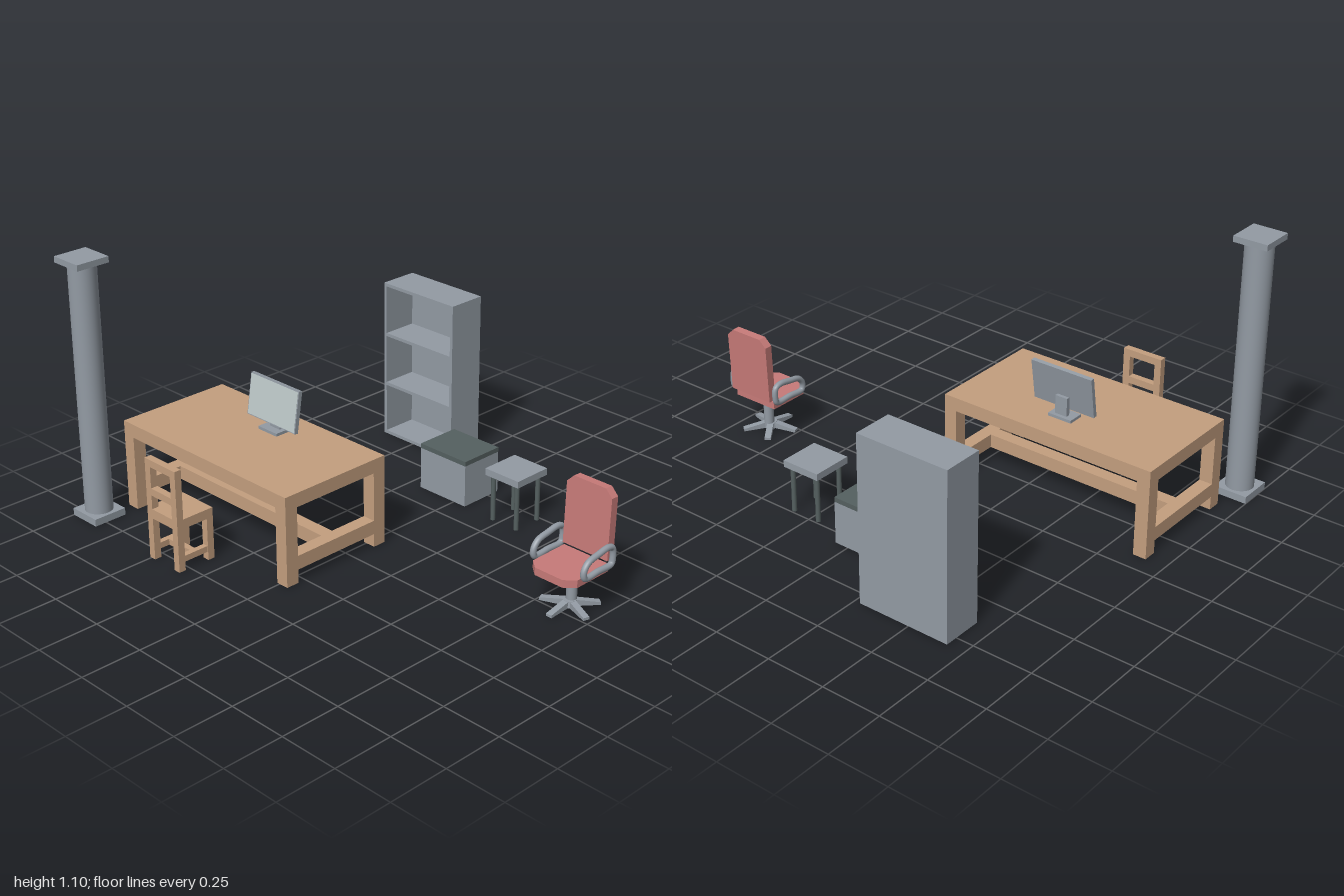
import * as THREE from 'three';

const mat = (name, color) => {
  const m = new THREE.MeshStandardMaterial({ color });
  m.name = name;
  return m;
};

export function createModel() {
  const wood = mat('tan wood', 0xc49f7f);
  const red = mat('red upholstery', 0xc87b79);
  const grey = mat('grey', 0x939ba4);
  const dark = mat('dark grey', 0x556060);
  const pale = mat('pale screen', 0xbcc8c8);

  const root = new THREE.Group();
  const group = (name) => {
    const g = new THREE.Group();
    g.name = name;
    root.add(g);
    return g;
  };
  const add = (parent, name, geo, m, x = 0, y = 0, z = 0) => {
    const mesh = new THREE.Mesh(geo, m);
    mesh.name = name;
    mesh.position.set(x, y, z);
    parent.add(mesh);
    return mesh;
  };
  // Box given by its limits on each axis
  const box = (parent, name, m, x0, x1, y0, y1, z0, z1) =>
    add(parent, name, new THREE.BoxGeometry(x1 - x0, y1 - y0, z1 - z0), m,
      (x0 + x1) / 2, (y0 + y1) / 2, (z0 + z1) / 2);
  const prism = (points, depth) => new THREE.ExtrudeGeometry(
    new THREE.Shape(points.map(([x, y]) => new THREE.Vector2(x, y))), { depth, bevelEnabled: false });

  // Column
  const column = group('column');
  box(column, 'columnBase', grey, -1, -0.855, 0, 0.03, 0.655, 0.802);
  add(column, 'columnShaft', new THREE.CylinderGeometry(0.057, 0.057, 1.045, 32), grey, -0.928, 0.5525, 0.728);
  box(column, 'columnCap', grey, -1, -0.855, 1.075, 1.1, 0.655, 0.802);

  // Desk with an H-shaped stretcher
  const desk = group('desk');
  box(desk, 'deskTop', wood, -0.914, 0.043, 0.318, 0.376, 0.08, 0.59);
  for (const x of [-0.914, -0.013]) {
    for (const z of [0.08, 0.533]) box(desk, 'deskLeg', wood, x, x + 0.056, 0, 0.318, z, z + 0.057);
    box(desk, 'sideStretcher', wood, x, x + 0.056, 0.056, 0.114, 0.137, 0.533);
  }
  box(desk, 'longStretcher', wood, -0.858, -0.013, 0.056, 0.114, 0.307, 0.363);

  // Wooden chair facing the desk
  const chair = group('woodenChair');
  box(chair, 'chairSeat', wood, -0.508, -0.33, 0.177, 0.217, 0.63, 0.774);
  for (const x of [-0.508, -0.36]) {
    box(chair, 'backPost', wood, x, x + 0.03, 0, 0.425, 0.772, 0.802);
    box(chair, 'frontLeg', wood, x, x + 0.03, 0, 0.177, 0.63, 0.66);
    box(chair, 'chairSideStretcher', wood, x + 0.003, x + 0.027, 0.035, 0.06, 0.66, 0.772);
  }
  box(chair, 'topRail', wood, -0.478, -0.36, 0.395, 0.425, 0.772, 0.802);
  box(chair, 'middleRail', wood, -0.478, -0.36, 0.275, 0.305, 0.772, 0.802);
  box(chair, 'lowerRail', wood, -0.478, -0.36, 0.177, 0.217, 0.772, 0.802);
  box(chair, 'crossStretcher', wood, -0.481, -0.357, 0.035, 0.06, 0.704, 0.728);

  // Monitor
  const monitor = group('monitor');
  box(monitor, 'monitorBase', grey, -0.478, -0.372, 0.376, 0.388, 0.193, 0.262);
  box(monitor, 'monitorNeck', grey, -0.447, -0.393, 0.388, 0.465, 0.209, 0.227);
  const panel = new THREE.Group();
  panel.name = 'monitorPanel';
  panel.position.set(-0.418, 0.497, 0.227);
  panel.rotation.x = -0.16;
  monitor.add(panel);
  add(panel, 'monitorCase', new THREE.BoxGeometry(0.278, 0.174, 0.017), grey);
  add(panel, 'screen', new THREE.BoxGeometry(0.27, 0.166, 0.002), pale, 0, 0, 0.009);

  // Open bookshelf
  const shelf = group('bookshelf');
  const t = 0.014;
  box(shelf, 'shelfBack', grey, -0.675, -0.275, 0, 0.7, -0.802, -0.788);
  for (const x of [-0.675, -0.275 - t]) box(shelf, 'shelfSide', grey, x, x + t, 0, 0.7, -0.788, -0.632);
  for (const y of [0, 0.23, 0.459, 0.7 - t])
    box(shelf, 'shelfBoard', grey, -0.675 + t, -0.275 - t, y, y + t, -0.788, -0.632);

  // Cabinet with a dark lid
  const cabinet = group('cabinet');
  box(cabinet, 'cabinetBody', grey, -0.188, 0.06, 0, 0.18, -0.557, -0.36);
  box(cabinet, 'cabinetLid', dark, -0.188, 0.06, 0.18, 0.2, -0.557, -0.36);

  // Small side table
  const table = group('sideTable');
  box(table, 'tableTop', grey, 0.19, 0.362, 0.198, 0.227, -0.509, -0.336);
  for (const x of [0.214, 0.338]) for (const z of [-0.484, -0.36])
    add(table, 'tableLeg', new THREE.CylinderGeometry(0.01, 0.01, 0.198, 16), dark, x, 0.099, z);

  // Office chair
  const office = group('officeChair');
  const cx = 0.869, cz = -0.056;
  const seat = prism([[-0.105, 0.14], [0.105, 0.14], [0.105, -0.035], [0.065, -0.07], [-0.065, -0.07], [-0.105, -0.035]], 0.031);
  seat.rotateX(-Math.PI / 2);
  add(office, 'officeSeat', seat, red, cx, 0.153, 0);
  const back = prism([[-0.105, 0], [0.105, 0], [0.105, 0.25], [0.074, 0.281], [-0.074, 0.281], [-0.105, 0.25]], 0.034);
  add(office, 'officeBackrest', back, red, cx, 0.195, -0.165).rotation.x = -0.04;
  add(office, 'officePost', new THREE.CylinderGeometry(0.021, 0.021, 0.14, 24), grey, cx, 0.083, cz - 0.01);
  add(office, 'officeHub', new THREE.CylinderGeometry(0.026, 0.03, 0.025, 24), grey, cx, 0.0175, cz);
  // Five sloping feet
  for (let i = 0; i < 5; i++) {
    const foot = prism([[0, 0.005], [0.116, 0], [0.116, 0.011], [0.02, 0.03], [0, 0.03]], 0.026);
    foot.translate(0, 0, -0.013);
    add(office, 'officeFoot', foot, grey, cx, 0, cz).rotation.y = -Math.PI / 2 + i * Math.PI * 0.4;
  }
  // Looped armrests
  const loop = new THREE.CatmullRomCurve3(
    [[0.188, 0.012], [0.215, 0.018], [0.245, -0.004], [0.258, -0.06], [0.265, -0.115], [0.255, -0.14],
      [0.215, -0.145], [0.19, -0.137], [0.188, -0.06]].map(([y, z]) => new THREE.Vector3(0, y, z)), true);
  for (const side of [-1, 1])
    add(office, 'armrest', new THREE.TubeGeometry(loop, 64, 0.0125, 12, true), grey, cx + side * 0.1185, 0, 0);

  return root;
}
